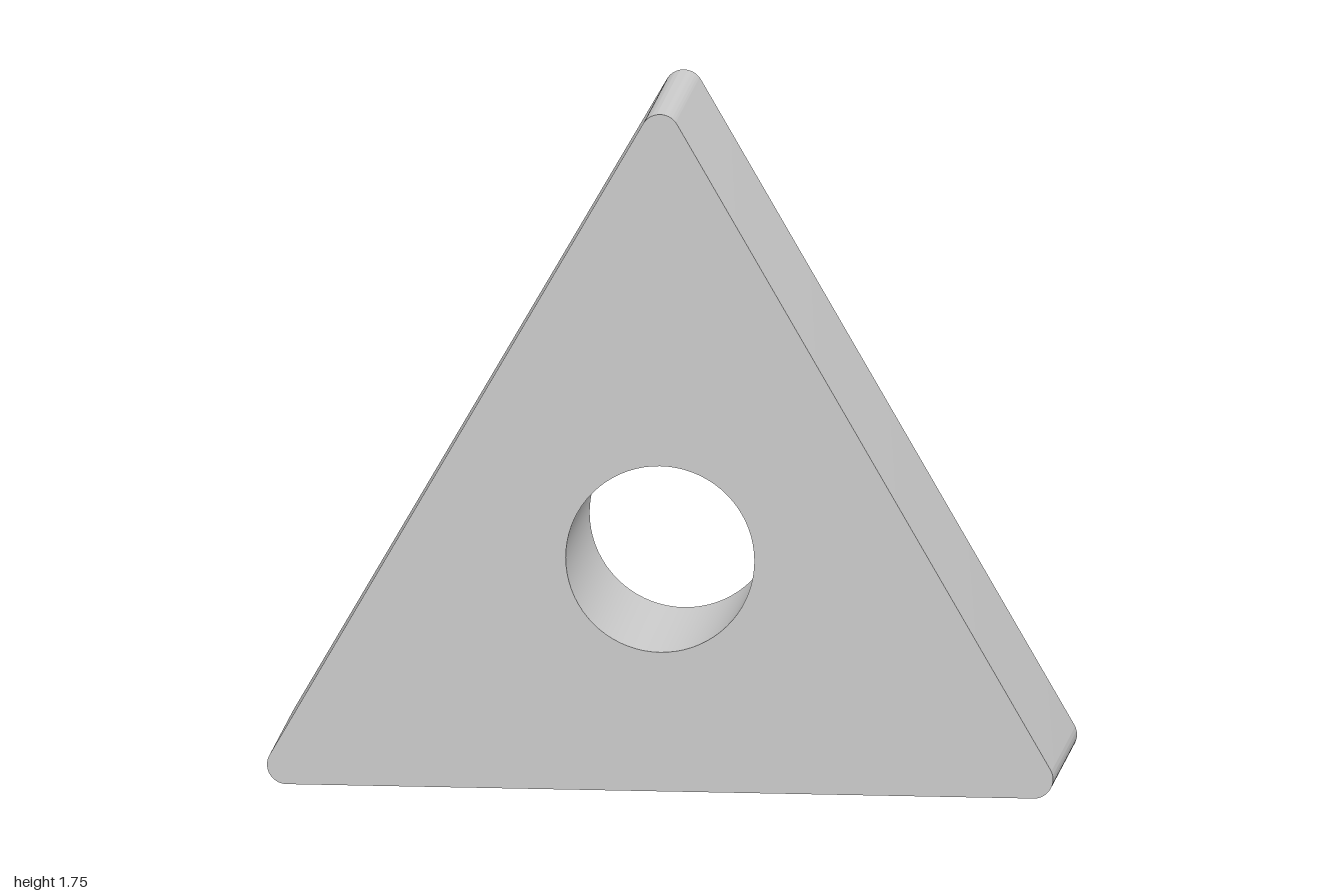
import * as THREE from 'three';
import { toCreasedNormals } from 'three/addons/utils/BufferGeometryUtils.js';

const CORNER = 0.05; // corner rounding radius
const DEPTH = 0.6;
const HOLE = 0.24; // bore radius

export function createModel() {
  const group = new THREE.Group();
  group.name = 'triangularInsert';

  // Equilateral outline: three 120 degree corner arcs joined by straight sides
  const reach = (2 * (1 - CORNER)) / Math.sqrt(3); // centroid to arc centre
  const centreY = CORNER + reach / 2;
  const outline = new THREE.Shape();
  for (let i = 0; i < 3; i++) {
    const a = -Math.PI / 6 + (i * 2 * Math.PI) / 3;
    outline.absarc(reach * Math.cos(a), centreY + reach * Math.sin(a), CORNER,
      a - Math.PI / 3, a + Math.PI / 3, false);
  }
  outline.closePath();

  // Round bore through the centroid
  const bore = new THREE.Path();
  bore.absarc(0, centreY, HOLE, 0, Math.PI * 2, true);
  outline.holes.push(bore);

  // Plate with sharp face edges and smooth corners and bore
  const extruded = new THREE.ExtrudeGeometry(outline, { depth: DEPTH, bevelEnabled: false, curveSegments: 36 });
  extruded.translate(0, 0, -DEPTH / 2);
  const plate = new THREE.Mesh(toCreasedNormals(extruded, Math.PI / 6),
    new THREE.MeshStandardMaterial({ color: 0xcccccc }));
  plate.name = 'plate';
  group.add(plate);
  return group;
}
